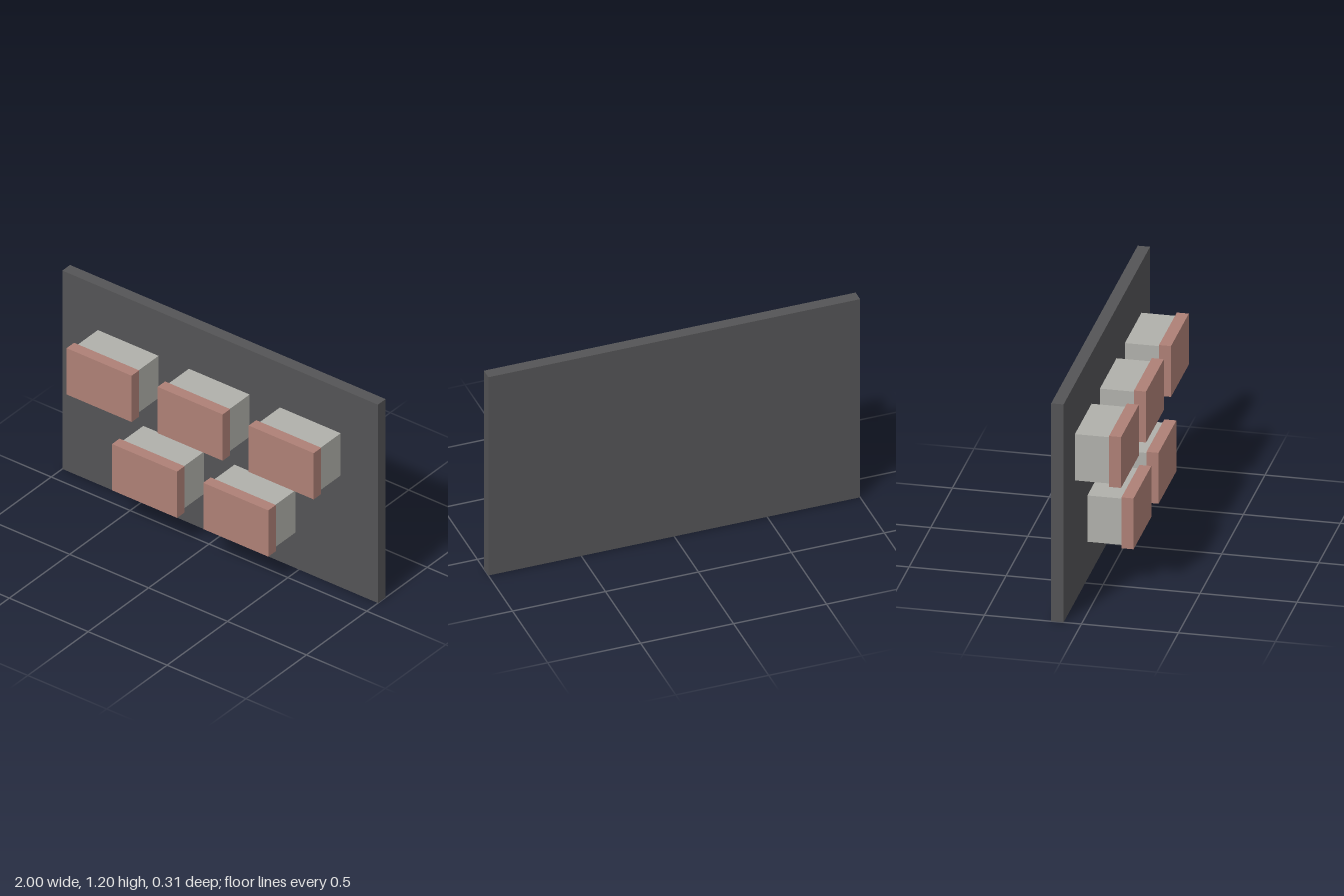
import * as THREE from 'three';

export function createModel() {
  const model = new THREE.Group();
  const panelMat = new THREE.MeshStandardMaterial({ color: 0x545456 });
  const blockMat = new THREE.MeshStandardMaterial({ color: 0xb0b0ab });
  const faceMat = new THREE.MeshStandardMaterial({ color: 0xae8076 });

  // Box given by its size, centre and depth range
  function box(name, w, h, z0, z1, x, y, material, parent) {
    const mesh = new THREE.Mesh(new THREE.BoxGeometry(w, h, z1 - z0), material);
    mesh.name = name;
    mesh.position.set(x, y, (z0 + z1) / 2);
    parent.add(mesh);
  }

  // Upright backing panel
  box('backPanel', 2, 1.2, -0.156, -0.092, 0, 0.6, panelMat, model);

  // Staggered rows of blocks, set just off the panel, each with a wider front plate
  const rows = [
    { y: 0.81, xs: [-0.577, 0, 0.577] },
    { y: 0.347, xs: [-0.289, 0.289] },
  ];
  for (const { y, xs } of rows) {
    for (const x of xs) {
      const unit = new THREE.Group();
      unit.name = 'blockUnit';
      unit.position.set(x, y, 0);
      box('block', 0.385, 0.255, -0.085, 0.094, 0, 0, blockMat, unit);
      box('frontPlate', 0.412, 0.28, 0.094, 0.156, 0, 0, faceMat, unit);
      model.add(unit);
    }
  }
  return model;
}
